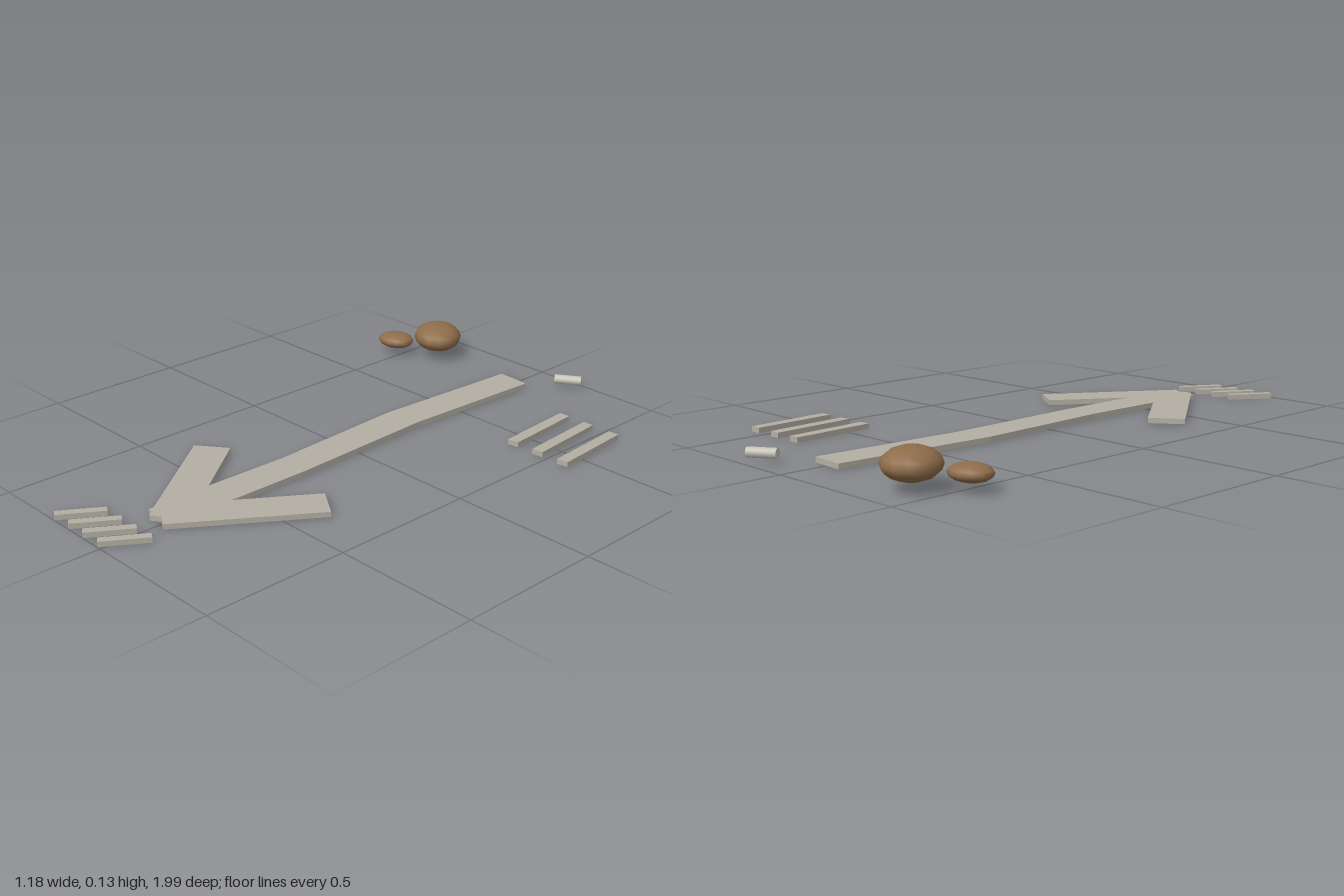
import * as THREE from 'three';

const T = 0.018; // slab thickness

export function createModel() {
  const model = new THREE.Group();
  const paleStone = new THREE.MeshStandardMaterial({ name: 'pale stone', color: 0xb3afa3 });
  const lightStone = new THREE.MeshStandardMaterial({ name: 'light stone', color: 0xc4c1b6 });
  const brownRock = new THREE.MeshStandardMaterial({ name: 'brown rock', color: 0x8f6d4a });

  const add = (name, geometry, material, x = 0, y = 0, z = 0, turn = 0) => {
    const mesh = new THREE.Mesh(geometry, material);
    mesh.name = name;
    mesh.position.set(x, y, z);
    mesh.rotation.y = turn;
    model.add(mesh);
    return mesh;
  };

  // Flat slab on the ground from an outline of [x, z] points
  const slab = (name, outline) => {
    const shape = new THREE.Shape(outline.map(([x, z]) => new THREE.Vector2(x, -z)));
    const geo = new THREE.ExtrudeGeometry(shape, { depth: T, bevelEnabled: false });
    geo.rotateX(-Math.PI / 2);
    add(name, geo, paleStone);
  };

  // Slightly bent arrow pointing to the front
  slab('arrow', [
    [-0.065, -0.842], [-0.1, -0.27], [-0.073, 0.24], [-0.08, 0.535],
    [-0.25, 0.31], [-0.35, 0.385], [-0.078, 0.75], [-0.08, 0.767], [-0.06, 0.768],
    [-0.045, 0.79], [-0.012, 0.77], [0.03, 0.795],
    [0.315, 0.375], [0.21, 0.305], [0.048, 0.545],
    [0.05, 0.24], [0.03, -0.3], [0.058, -0.834],
  ]);

  // Three long bars beside the tail
  [[0.317, 0.336], [0.421, 0.442], [0.529, 0.547]].forEach(([back, front], i) => {
    slab('longBar' + (i + 1), [
      [back, -0.715], [front, -0.415], [front + 0.04, -0.42], [back + 0.039, -0.715],
    ]);
  });

  // Four short slanted bars in front of the tip
  for (let i = 0; i < 4; i++) {
    add('shortBar' + (i + 1), new THREE.BoxGeometry(0.028, T, 0.16), paleStone,
      -0.211 + i * 0.0765, T / 2, 0.925, -0.575);
  }

  // Small cylinder lying behind the tail
  const rod = new THREE.CylinderGeometry(0.017, 0.017, 0.097, 12);
  rod.rotateZ(Math.PI / 2);
  add('rod', rod, lightStone, 0.162, 0.031, -0.949, 0.57);

  // Two flattened rocks
  const rock = new THREE.SphereGeometry(1, 12, 8);
  add('largeRock', rock, brownRock, -0.401, 0.076, -0.846, -0.75).scale.set(0.106, 0.05, 0.09);
  add('smallRock', rock, brownRock, -0.525, 0.054, -0.742, 0.2).scale.set(0.071, 0.028, 0.058);

  return model;
}
